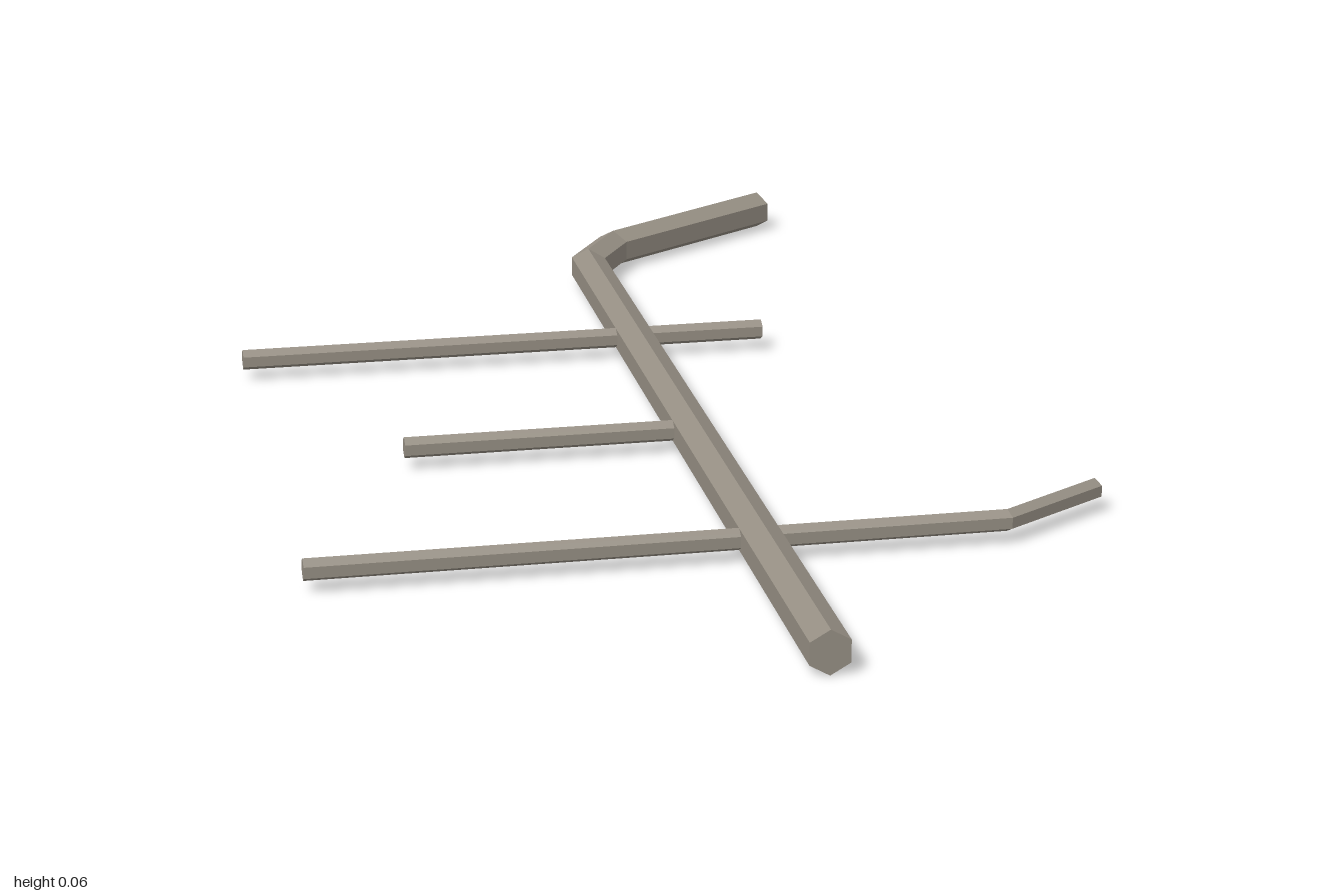
import * as THREE from 'three';

const SIDES = 6;
const AXIS_Y = 0.031;

// Mitred hexagonal pipe along a flat path of [x, z] points
function pipeGeometry(path, radius) {
  const pts = path.map(([x, z]) => new THREE.Vector2(x, z));
  const dirs = pts.slice(1).map((p, i) => p.clone().sub(pts[i]).normalize());
  const rings = pts.map((p, i) => {
    const a = dirs[Math.max(i - 1, 0)];
    const b = dirs[Math.min(i, dirs.length - 1)];
    const mid = a.clone().add(b).normalize();
    const mitre = 1 / mid.dot(a);
    return Array.from({ length: SIDES }, (_, k) => {
      const t = ((k + 0.5) / SIDES) * Math.PI * 2;
      const side = Math.cos(t) * radius * mitre;
      return [p.x - mid.y * side, AXIS_Y + Math.sin(t) * radius, p.y + mid.x * side];
    });
  });
  const pos = [];
  const tri = (a, b, c) => pos.push(...a, ...b, ...c);
  // Walls
  for (let i = 0; i < rings.length - 1; i++) {
    for (let k = 0; k < SIDES; k++) {
      const n = (k + 1) % SIDES;
      tri(rings[i][k], rings[i + 1][k], rings[i][n]);
      tri(rings[i][n], rings[i + 1][k], rings[i + 1][n]);
    }
  }
  // End caps
  const first = rings[0], last = rings[rings.length - 1];
  for (let k = 1; k < SIDES - 1; k++) {
    tri(first[0], first[k], first[k + 1]);
    tri(last[0], last[k + 1], last[k]);
  }
  const geometry = new THREE.BufferGeometry();
  geometry.setAttribute('position', new THREE.Float32BufferAttribute(pos, 3));
  geometry.computeVertexNormals();
  return geometry;
}

export function createModel() {
  const group = new THREE.Group();
  group.name = 'pipeNetwork';
  const metal = new THREE.MeshStandardMaterial({ color: 0x968f84 });
  metal.name = 'dull grey metal';

  const pipes = [
    ['mainPipe', 0.031, [[0.052, 1], [0.052, -0.688], [0.113, -0.787], [0.408, -0.977]]],
    ['rearBranch', 0.016, [[-0.563, -0.298], [0.26, -0.298]]],
    ['middleBranch', 0.016, [[-0.37, 0.15], [0.052, 0.15]]],
    ['frontBranch', 0.016, [[-0.563, 0.597], [0.4, 0.597], [0.555, 0.502]]],
  ];
  for (const [name, radius, path] of pipes) {
    const mesh = new THREE.Mesh(pipeGeometry(path, radius), metal);
    mesh.name = name;
    group.add(mesh);
  }
  return group;
}
